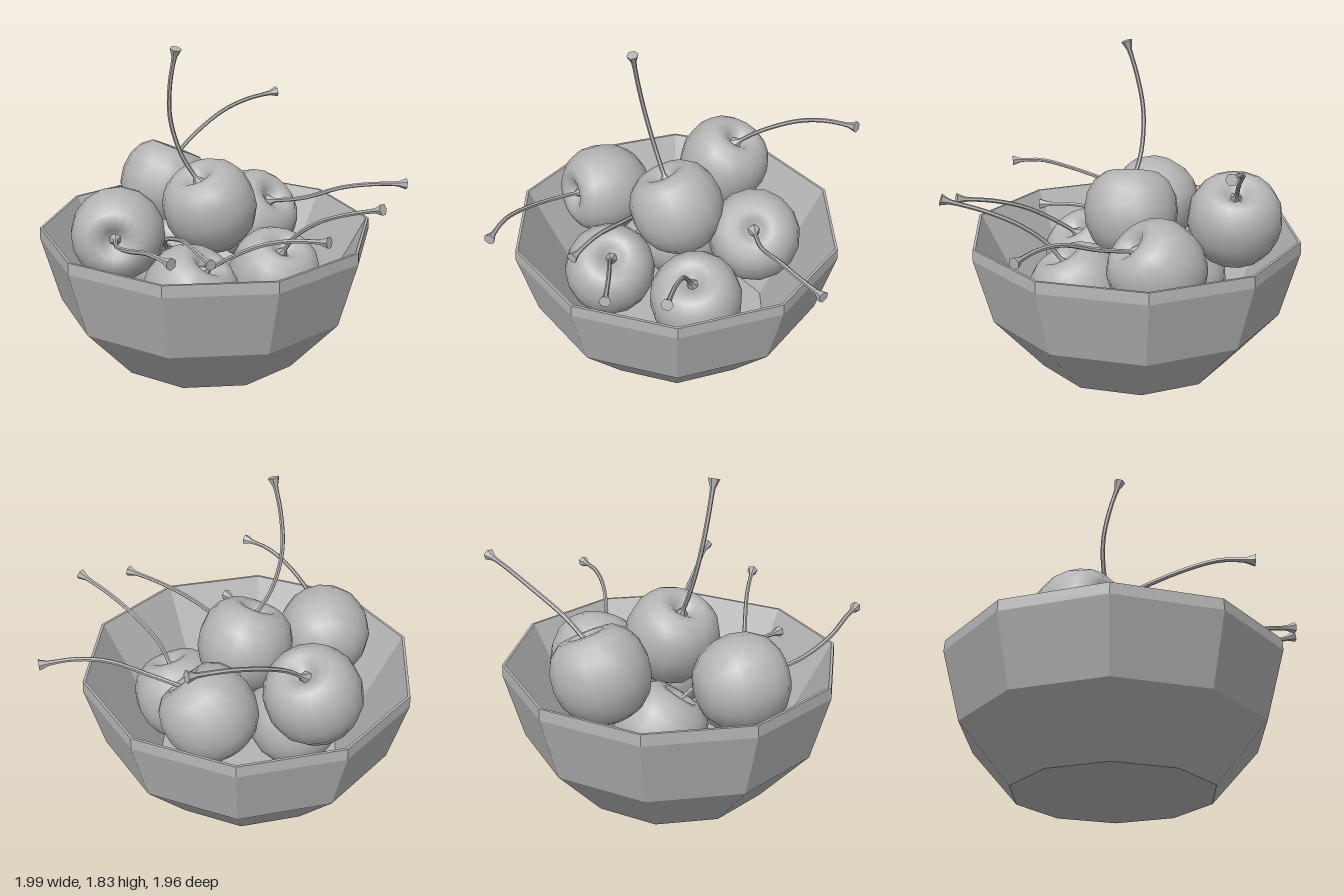
import * as THREE from 'three';
import { toCreasedNormals } from 'three/addons/utils/BufferGeometryUtils.js';

const v = (a) => new THREE.Vector3(...a);
const clay = new THREE.MeshStandardMaterial({ color: 0xb4b4b4 });
clay.name = 'plain grey';

// Cherry body: centre, direction of the stem dimple, radius, then stem points up to the tip
const cherries = [
  { c: [-0.07, 0.87, 0.01], d: [-0.06, 0.88, 0.4], r: 0.27,
    stem: [[-0.14, 1.2, 0.165], [-0.155, 1.42, 0.23], [-0.12, 1.62, 0.255], [-0.06, 1.82, 0.26]] },
  { c: [-0.65, 0.85, -0.1], d: [0.05, 0.9, -0.42], r: 0.27,
    stem: [[-0.625, 1.13, -0.33], [-0.605, 1.25, -0.55], [-0.56, 1.31, -0.72], [-0.485, 1.345, -0.91]] },
  { c: [-0.265, 0.785, 0.525], d: [0.68, 0.13, 0.6], r: 0.265,
    stem: [[0.05, 0.85, 0.76], [0.27, 0.91, 0.84], [0.45, 0.955, 0.86], [0.63, 0.955, 0.86]] },
  { c: [-0.19, 0.69, -0.42], d: [0.7, 0.7, -0.15], r: 0.27,
    stem: [[0.14, 0.86, -0.54], [0.32, 0.94, -0.67], [0.45, 0.965, -0.8], [0.565, 0.96, -0.96]] },
  { c: [0.24, 0.49, -0.2], d: [0.4, 0.9, 0.02], r: 0.265,
    stem: [[0.42, 0.78, -0.19], [0.56, 0.89, -0.21], [0.74, 0.98, -0.23], [0.975, 1.065, -0.265]] },
  { c: [0.15, 0.5, 0.36], d: [0.45, 0.85, -0.25], r: 0.265,
    stem: [[0.4, 0.77, 0.26], [0.55, 0.86, 0.2], [0.72, 0.92, 0.14], [0.925, 0.955, 0.08]] },
  { c: [-0.38, 0.44, 0.09], d: [0.45, 0.8, 0.35], r: 0.265,
    stem: [[-0.18, 0.7, 0.26], [0.04, 0.775, 0.32], [0.24, 0.8, 0.4], [0.455, 0.79, 0.46]] },
];

// Unit cherry with a hollow around the stem, revolved about y
function cherryGeometry() {
  const profile = [[0, -0.93], [0.25, -0.93], [0.52, -0.84], [0.78, -0.61], [0.95, -0.28], [1, 0.06],
    [0.95, 0.42], [0.8, 0.7], [0.58, 0.87], [0.38, 0.88], [0.22, 0.77], [0.1, 0.65], [0, 0.62]];
  return new THREE.LatheGeometry(profile.map((p) => new THREE.Vector2(...p)), 16);
}

// Tube whose radius widens at the foot and flares at the tip, closed by a flat end
function stemGeometry(points) {
  const n = 18, sides = 6;
  const curve = new THREE.CatmullRomCurve3(points);
  const geo = new THREE.TubeGeometry(curve, n, 1, sides);
  const pos = geo.attributes.position;
  const radii = (k) => (k === 0 ? 0.04 : k === n ? 0 : k === n - 1 ? 0.033 : k === n - 2 ? 0.015 : 0.0125);
  for (let k = 0; k <= n; k++) {
    const from = curve.getPointAt(k / n);
    const to = curve.getPointAt(Math.min(k / (n - 1), 1));
    for (let j = 0; j <= sides; j++) {
      const i = k * (sides + 1) + j;
      const p = new THREE.Vector3().fromBufferAttribute(pos, i).sub(from).multiplyScalar(radii(k)).add(to);
      pos.setXYZ(i, p.x, p.y, p.z);
    }
  }
  return toCreasedNormals(geo, 0.9);
}

// Ten-sided bowl: outer wall, thin rim, then the straight inner wall and floor
function makeBowl() {
  const profile = [[0, 0], [0.564, 0], [0.851, 0.325], [0.957, 0.71], [0.953, 0.775],
    [0.938, 0.775], [0.56, 0.06], [0, 0.06]];
  const geo = new THREE.LatheGeometry(profile.map((p) => new THREE.Vector2(...p)), 10).toNonIndexed();
  geo.computeVertexNormals();
  const bowl = new THREE.Mesh(geo, clay);
  bowl.name = 'bowl';
  bowl.position.set(-0.09, 0, 0.025);
  return bowl;
}

export function createModel() {
  const model = new THREE.Group();
  model.name = 'bowlOfCherries';
  model.add(makeBowl());

  const bodyGeo = cherryGeometry();
  const up = new THREE.Vector3(0, 1, 0);
  cherries.forEach(({ c, d, r, stem }, i) => {
    const cherry = new THREE.Group();
    cherry.name = `cherry${i + 1}`;
    const axis = v(d).normalize();

    const body = new THREE.Mesh(bodyGeo, clay);
    body.name = 'fruit';
    body.position.copy(v(c));
    body.quaternion.setFromUnitVectors(up, axis);
    body.scale.setScalar(r);

    const foot = v(c).addScaledVector(axis, r * 0.63);
    const stalk = new THREE.Mesh(stemGeometry([foot, ...stem.map(v)]), clay);
    stalk.name = 'stem';
    cherry.add(body, stalk);
    model.add(cherry);
  });
  return model;
}
